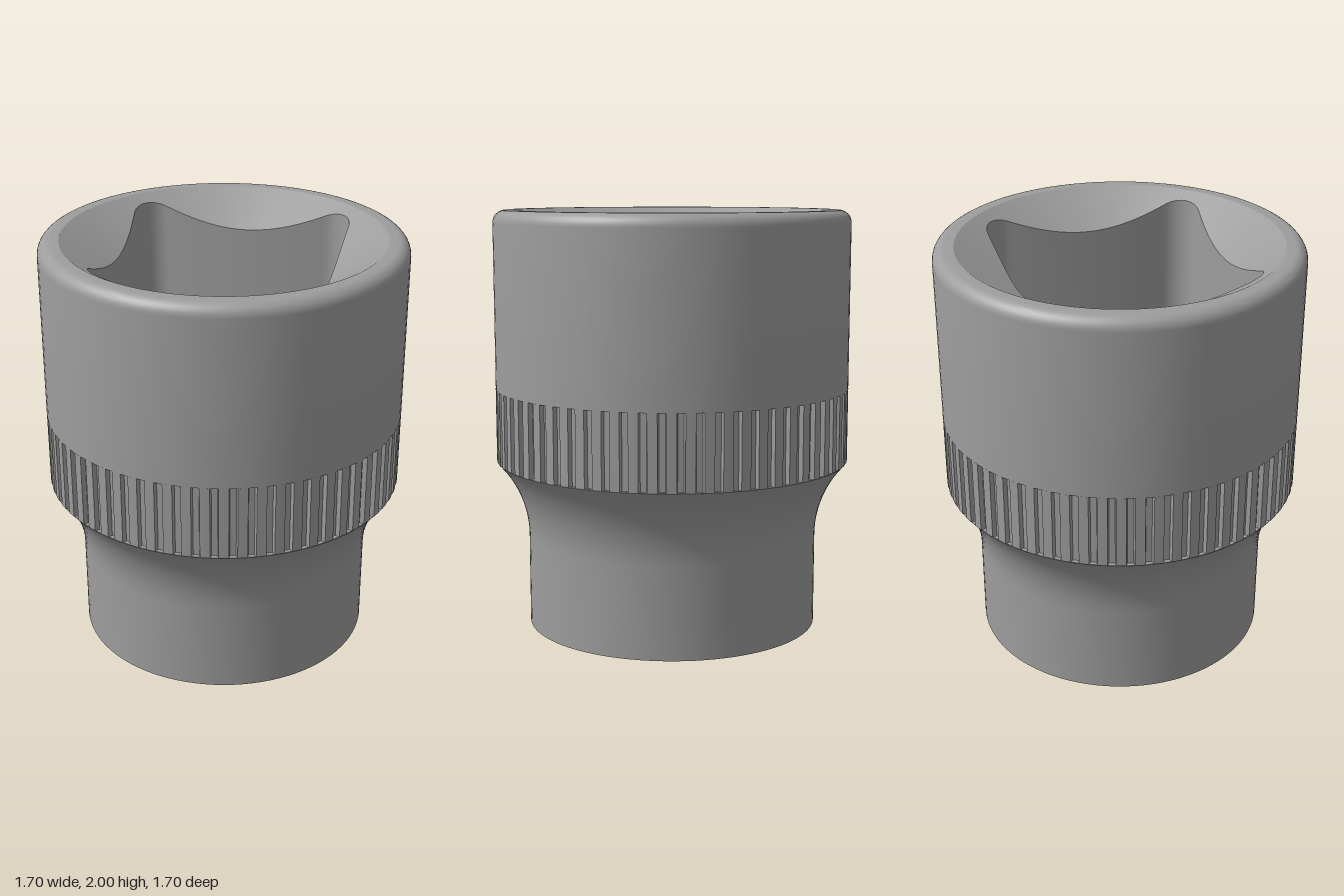
import * as THREE from 'three';
import { toCreasedNormals } from 'three/addons/utils/BufferGeometryUtils.js';

const SEGMENTS = 96, RIDGES = 64, SAMPLES = 240;
const CHAMFER = Math.tan(Math.PI / 6);
const BAND_LOW = 0.805, BAND_HIGH = 1.155;

const arc = (cx, cy, r, from, to, n) => Array.from({ length: n + 1 }, (_, i) => {
  const a = from + (to - from) * i / n;
  return [cx + r * Math.cos(a), cy + r * Math.sin(a)];
});

const lathe = (pts) => toCreasedNormals(
  new THREE.LatheGeometry(pts.map(([x, y]) => new THREE.Vector2(x, y)), SEGMENTS), 0.5);

// Radius of the drive square at an angle: slightly bowed sides, rounded corners
function squareRadius(a) {
  const quarter = Math.PI / 2, core = 0.405, round = 0.12;
  const phi = Math.abs(a - Math.round(a / quarter) * quarter);
  const t = Math.tan(phi);
  let x = 0.503;
  for (let i = 0; i < 8; i++) x = 0.503 + 0.134 * (x * t) ** 2;
  if (x * t < core) return x / Math.cos(phi);
  const d = Math.PI / 4 - phi;
  return core * Math.SQRT2 * Math.cos(d) + Math.sqrt(round ** 2 - 2 * (core * Math.sin(d)) ** 2);
}

// Radius of the six-pointed star at an angle
const starRadius = (a) => 0.375 + 0.125 * Math.pow((1 + Math.cos(6 * a)) / 2, 1.6);

// Skin between rings listed from top to bottom; each ring gives [radius, height] at an angle
function ringSkin(rings) {
  const pos = [], index = [], n = SAMPLES;
  rings.forEach((ring, i) => {
    for (let j = 0; j < n; j++) {
      const a = j / n * Math.PI * 2, [r, y] = ring(a);
      pos.push(r * Math.sin(a), y, r * Math.cos(a));
      if (i === rings.length - 1) continue;
      const k = (j + 1) % n, p = i * n, q = p + n;
      index.push(p + j, p + k, q + j, p + k, q + k, q + j);
    }
  });
  const g = new THREE.BufferGeometry();
  g.setAttribute('position', new THREE.Float32BufferAttribute(pos, 3));
  g.setIndex(index);
  return toCreasedNormals(g, 0.6);
}

// Ring of straight ridges, cut from the outer diameter
function ridgedBand() {
  const shape = new THREE.Shape(), pts = [], step = Math.PI * 2 / RIDGES;
  for (let i = 0; i < RIDGES; i++) {
    for (const [f, r] of [[-0.27, 0.85], [0, 0.85], [0.27, 0.85], [0.33, 0.828], [0.67, 0.828]]) {
      const a = (i + f) * step;
      pts.push(new THREE.Vector2(r * Math.cos(a), r * Math.sin(a)));
    }
  }
  shape.setFromPoints(pts);
  shape.holes.push(new THREE.Path().absarc(0, 0, 0.79, 0, Math.PI * 2, true));
  return new THREE.ExtrudeGeometry(shape, { depth: BAND_HIGH - BAND_LOW, bevelEnabled: false, curveSegments: 48 })
    .rotateX(-Math.PI / 2).translate(0, BAND_LOW, 0);
}

export function createModel() {
  const group = new THREE.Group();
  const material = new THREE.MeshStandardMaterial({ color: 0x9d9d9d });
  const add = (name, geometry) => {
    const mesh = new THREE.Mesh(geometry, material);
    mesh.name = name;
    group.add(mesh);
  };

  // Narrow lower neck flaring out to the band
  add('neck', lathe([
    [0.66, 0], [0.7, 0],
    ...arc(1.245, 0.43, 0.545, Math.PI, Math.PI - 0.753, 14),
    [0.847, BAND_LOW], [0.79, BAND_LOW],
  ]));

  add('ridgedBand', ridgedBand());

  // Wide upper body with a rounded top edge
  add('upperBody', lathe([
    [0.79, BAND_HIGH], [0.85, BAND_HIGH],
    ...arc(0.79, 1.94, 0.06, 0, Math.PI / 2, 8),
    [0.75, 2],
  ]));

  // Chamfered square drive recess, down to its floor
  add('driveRecess', ringSkin([
    () => [0.75, 2],
    (a) => [squareRadius(a), 2 - CHAMFER * (0.75 - squareRadius(a))],
    (a) => [squareRadius(a), 1],
    () => [0.225, 1],
  ]));

  add('throughHole', ringSkin([() => [0.225, 1], () => [0.225, 0.75]]));

  // Star recess opening through a chamfer at the bottom
  add('starRecess', ringSkin([
    () => [0.225, 0.75],
    (a) => [starRadius(a), 0.75],
    (a) => [starRadius(a), CHAMFER * (0.66 - starRadius(a))],
    () => [0.66, 0],
  ]));

  return group;
}
